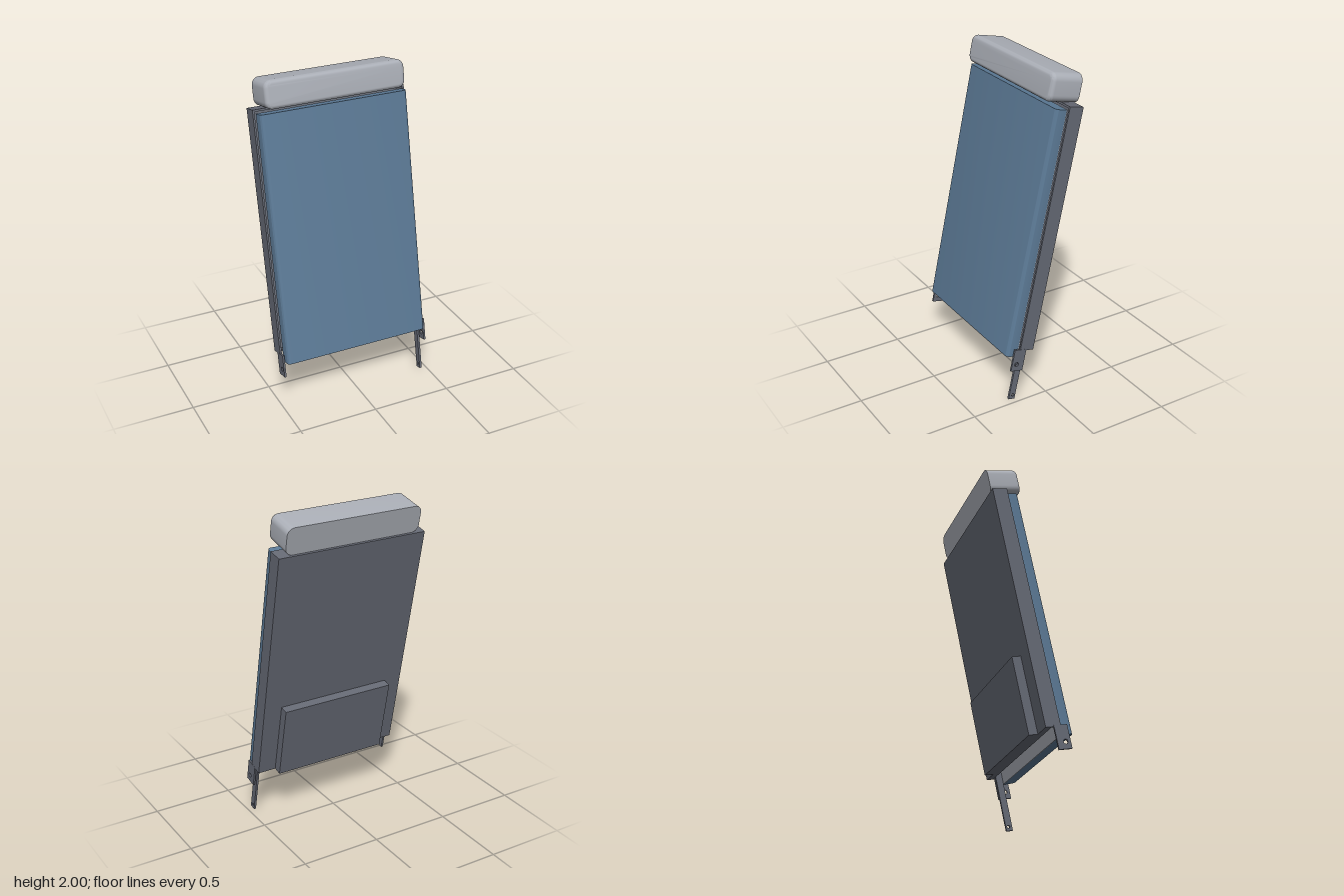
import * as THREE from 'three';
import { toCreasedNormals } from 'three/addons/utils/BufferGeometryUtils.js';

function material(name, color) {
  const m = new THREE.MeshStandardMaterial({ color });
  m.name = name;
  return m;
}

// Counter-clockwise outline of a rounded rectangle
function roundedOutline(halfW, halfH, r, steps = 8) {
  const pts = [];
  [[1, 1], [-1, 1], [-1, -1], [1, -1]].forEach(([sx, sy], corner) => {
    for (let i = 0; i <= steps; i++) {
      const a = (corner + i / steps) * Math.PI / 2;
      pts.push([sx * (halfW - r) + r * Math.cos(a), sy * (halfH - r) + r * Math.sin(a)]);
    }
  });
  return pts;
}

// Closed solid through rings of equal point count, ordered back to front
function loft(rings) {
  const pos = [], idx = [], n = rings[0].pts.length, last = rings.length - 1;
  rings.forEach(({ pts, z }) => pts.forEach(([x, y]) => pos.push(x, y, z)));
  for (let k = 0; k < last; k++) {
    for (let i = 0; i < n; i++) {
      const a = k * n + i, b = k * n + (i + 1) % n;
      idx.push(a, b, b + n, a, b + n, a + n);
    }
  }
  for (let i = 1; i < n - 1; i++) {
    idx.push(0, i + 1, i, last * n, last * n + i, last * n + i + 1);
  }
  const g = new THREE.BufferGeometry();
  g.setAttribute('position', new THREE.Float32BufferAttribute(pos, 3));
  g.setIndex(idx);
  return toCreasedNormals(g, 0.6);
}

export function createModel() {
  const frameGrey = material('frame grey', 0x666a75);
  const fabricBlue = material('fabric blue', 0x5c7a96);
  const paddingGrey = material('padding light grey', 0xabafb7);

  const model = new THREE.Group();
  model.name = 'seatBack';
  // All parts are built upright, then leaned back together
  const lean = new THREE.Group();
  lean.name = 'recliningAssembly';
  lean.rotation.x = -THREE.MathUtils.degToRad(12);
  model.add(lean);

  function add(name, geometry, mat) {
    const mesh = new THREE.Mesh(geometry, mat);
    mesh.name = name;
    lean.add(mesh);
    return mesh;
  }

  // Box given by its limits on each axis
  function box(name, [x0, x1], [y0, y1], [z0, z1], mat) {
    const mesh = add(name, new THREE.BoxGeometry(x1 - x0, y1 - y0, z1 - z0), mat);
    mesh.position.set((x0 + x1) / 2, (y0 + y1) / 2, (z0 + z1) / 2);
  }

  // Upright flat plate with one bolt hole, lying in the y-z plane
  function plate(name, [x0, x1], [y0, y1], [z0, z1], [hy, hz, hr]) {
    const shape = new THREE.Shape();
    shape.moveTo(-z0, y0).lineTo(-z0, y1).lineTo(-z1, y1).lineTo(-z1, y0).closePath();
    const hole = new THREE.Path();
    hole.absarc(-hz, hy, hr, 0, Math.PI * 2);
    shape.holes.push(hole);
    const g = new THREE.ExtrudeGeometry(shape, { depth: x1 - x0, bevelEnabled: false, curveSegments: 16 });
    g.rotateY(Math.PI / 2);
    g.translate(x0, 0, 0);
    add(name, toCreasedNormals(g, 0.6), frameGrey);
  }

  // Back shell: a shallow tray open to the front
  const W = 0.486, bottom = 0.297, top = 1.802, back = 0.15, front = 0.243;
  box('shellBack', [-W, W], [bottom, top], [back, back + 0.01], frameGrey);
  box('shellTop', [-W, W], [top - 0.012, top], [back, front], frameGrey);
  box('shellBottomLip', [-W, W], [bottom, bottom + 0.01], [back, 0.19], frameGrey);
  box('shellLeftWall', [W - 0.011, W], [bottom, top], [back, front], frameGrey);
  box('shellRightWall', [-W, -W + 0.011], [bottom, top], [back, front], frameGrey);

  // Raised box on the lower rear
  box('rearBox', [-0.37, 0.37], [bottom, 0.769], [0.095, back], frameGrey);

  // Hinge brackets on both sides, and the single long leg
  plate('leftBracket', [0.475, 0.487], [0.164, 0.305], [0.2, 0.281], [0.207, 0.25, 0.014]);
  plate('rightBracket', [-0.487, -0.475], [0.164, 0.305], [0.2, 0.281], [0.207, 0.25, 0.014]);
  plate('longLeg', [0.452, 0.466], [-0.042, 0.34], [0.198, 0.24], [-0.016, 0.216, 0.009]);

  // Cushion with rounded front side edges
  const cw = 0.468, cz0 = 0.248, cz1 = 0.317, r = 0.025, cBottom = 0.254, cTop = 1.779;
  const profile = new THREE.Shape();
  profile.moveTo(-cw, -cz0);
  profile.lineTo(-cw, -cz1 + r);
  profile.absarc(-cw + r, -cz1 + r, r, Math.PI, Math.PI * 1.5);
  profile.absarc(cw - r, -cz1 + r, r, Math.PI * 1.5, Math.PI * 2);
  profile.lineTo(cw, -cz0);
  profile.closePath();
  const cushion = new THREE.ExtrudeGeometry(profile, { depth: cTop - cBottom, bevelEnabled: false, curveSegments: 8 });
  cushion.rotateX(-Math.PI / 2);
  cushion.translate(0, cBottom, 0);
  add('cushion', toCreasedNormals(cushion, 0.6), fabricBlue);
  box('cushionBacking', [-cw, cw], [cBottom, cTop], [0.243, cz0], paddingGrey);

  // Headrest: rounded outline, rounded front edge, flat back
  const hw = 0.442, hh = 0.084, hr = 0.045, soft = 0.025, zBack = 0.16, zFront = 0.359;
  const rings = [{ pts: roundedOutline(hw, hh, hr), z: zBack }];
  for (let i = 0; i <= 6; i++) {
    const a = i / 6 * Math.PI / 2, inset = soft * (1 - Math.cos(a));
    rings.push({
      pts: roundedOutline(hw - inset, hh - inset, hr - inset),
      z: zFront - soft + soft * Math.sin(a),
    });
  }
  add('headrest', loft(rings), paddingGrey).position.y = 1.889;

  return model;
}
